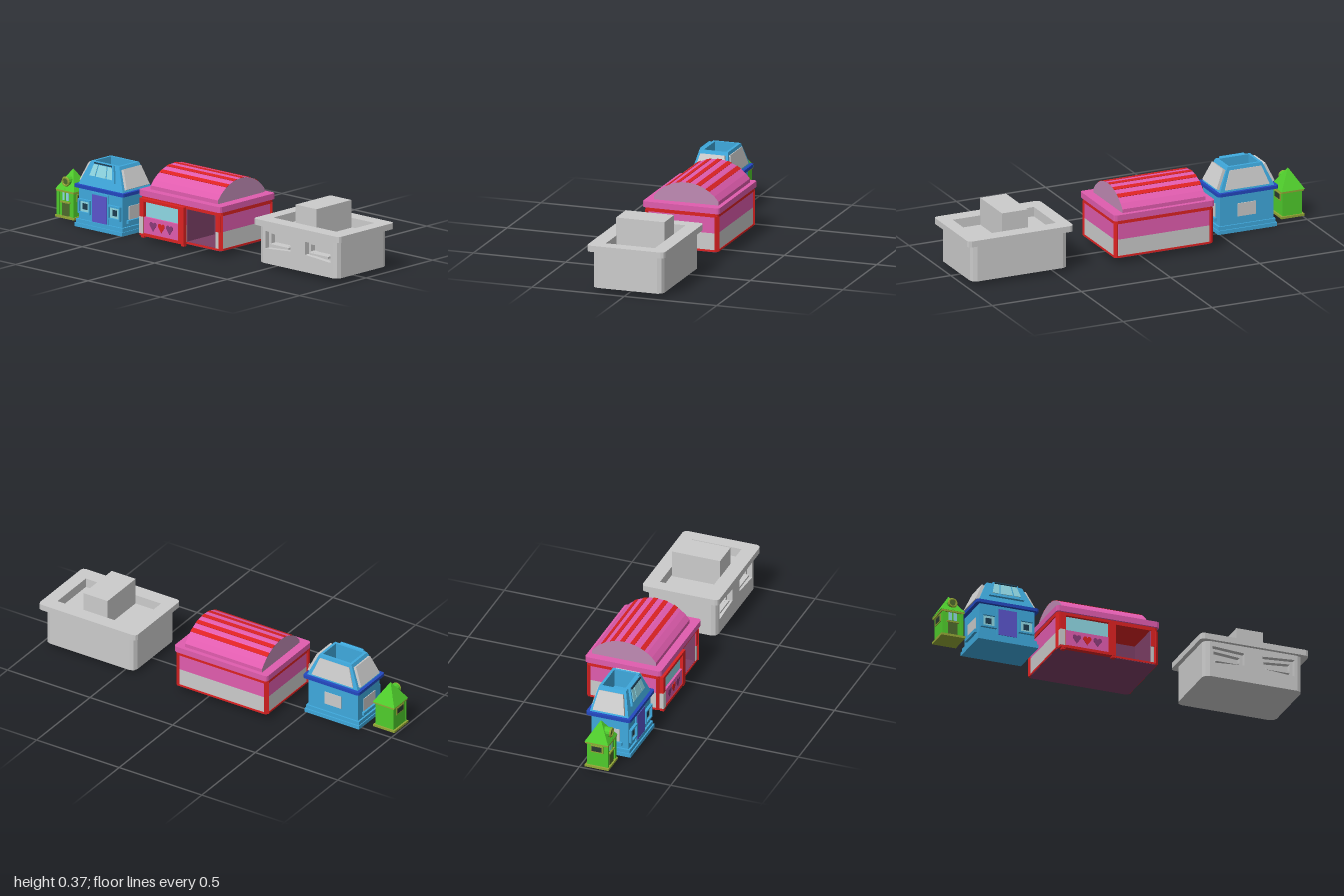
import * as THREE from 'three';

const mat = (color) => new THREE.MeshStandardMaterial({ color, flatShading: true, side: THREE.DoubleSide });
const M = {
  grey: mat(0xcccccc), green: mat(0x4fcc2c), olive: mat(0x94a836), dark: mat(0x2a3a30), brown: mat(0x4d6a2c),
  blue: mat(0x3fa9dd), navy: mat(0x2348c0), door: mat(0x5a55cc), glass: mat(0x8fd8e4), pane: mat(0x1c3c50),
  pink: mat(0xe05cae), red: mat(0xdd2222), mauve: mat(0xc08ab4), wine: mat(0x7d3f66), purple: mat(0x8a3a78),
};

function add(parent, name, geometry, material) {
  const mesh = new THREE.Mesh(geometry, material);
  mesh.name = name;
  parent.add(mesh);
  return mesh;
}

// Box from its limits
function box(parent, name, material, x0, x1, y0, y1, z0, z1) {
  const mesh = add(parent, name, new THREE.BoxGeometry(x1 - x0, y1 - y0, z1 - z0), material);
  mesh.position.set((x0 + x1) / 2, (y0 + y1) / 2, (z0 + z1) / 2);
  return mesh;
}

// Rectangle footprint with cut corners and an optional notch in the front edge
function footprint(x0, x1, z0, z1, c, notch) {
  const p = [[x0 + c, z1]];
  if (notch) p.push([notch[0], z1], [notch[0], notch[2]], [notch[1], notch[2]], [notch[1], z1]);
  p.push([x1 - c, z1], [x1 - c * 0.3, z1 - c * 0.3], [x1, z1 - c], [x1, z0 + c], [x1 - c * 0.3, z0 + c * 0.3], [x1 - c, z0],
    [x0 + c, z0], [x0 + c * 0.3, z0 + c * 0.3], [x0, z0 + c], [x0, z1 - c], [x0 + c * 0.3, z1 - c * 0.3]);
  return p.map(([x, z]) => new THREE.Vector2(x, -z));
}

// Footprint raised from y0 to y1
function slab(parent, name, material, points, y0, y1, hole) {
  const shape = new THREE.Shape(points);
  if (hole) shape.holes.push(new THREE.Path(hole));
  const g = new THREE.ExtrudeGeometry(shape, { depth: y1 - y0, bevelEnabled: false });
  return add(parent, name, g.rotateX(-Math.PI / 2).translate(0, y0, 0), material);
}

// Upright front panel with holes
const poly = (pts) => pts.map(([x, y]) => new THREE.Vector2(x, y));
const rect = (x0, x1, y0, y1) => [[x0, y0], [x1, y0], [x1, y1], [x0, y1]];
function panel(parent, name, material, pts, holes, z0, z1) {
  const shape = new THREE.Shape(poly(pts));
  holes.forEach((h) => shape.holes.push(new THREE.Path(poly(h))));
  const g = new THREE.ExtrudeGeometry(shape, { depth: z1 - z0, bevelEnabled: false });
  return add(parent, name, g.translate(0, 0, z0), material);
}

// Four corners, counter-clockwise from outside, thickened outwards by t
function plate(parent, name, material, corners, t = 0) {
  const a = corners.map((c) => new THREE.Vector3(...c));
  const n = a[1].clone().sub(a[0]).cross(a[3].clone().sub(a[0])).setLength(t || 1).multiplyScalar(t ? 1 : 0);
  const b = a.map((v) => v.clone().add(n));
  const pos = [];
  const quad = (p, q, r, s) => [p, q, r, p, r, s].forEach((v) => pos.push(v.x, v.y, v.z));
  quad(...b);
  if (t) for (let i = 0; i < 4; i++) quad(a[i], a[(i + 1) % 4], b[(i + 1) % 4], b[i]);
  const g = new THREE.BufferGeometry();
  g.setAttribute('position', new THREE.Float32BufferAttribute(pos, 3));
  g.computeVertexNormals();
  return add(parent, name, g, material);
}

// Part of a four-cornered face, u and v from 0 to 1
function within(f, u0, u1, v0, v1) {
  const v = f.map((c) => new THREE.Vector3(...c));
  const at = (s, t) => v[0].clone().lerp(v[1], s).lerp(v[3].clone().lerp(v[2], s), t).toArray();
  return [at(u0, v0), at(u1, v0), at(u1, v1), at(u0, v1)];
}

function greenHut() {
  const g = new THREE.Group();
  g.name = 'greenHut';
  const cx = -0.935, cz = 0.093;
  box(g, 'hutBase', M.olive, -1, -0.87, 0.01, 0.022, 0.03, 0.16);
  box(g, 'hutWalls', M.green, -0.99, -0.88, 0.022, 0.15, 0.038, 0.148);
  box(g, 'hutEave', M.olive, -0.997, -0.873, 0.146, 0.156, 0.031, 0.157);
  const roof = add(g, 'hutRoof', new THREE.CylinderGeometry(0, 0.065 * Math.SQRT2, 0.105, 4, 1, false, Math.PI / 4), M.green);
  roof.position.set(cx, 0.2085, cz);
  // Porthole dormer
  const dormer = add(g, 'hutDormer', new THREE.CylinderGeometry(0.025, 0.025, 0.055, 12).rotateX(Math.PI / 2), M.green);
  dormer.position.set(cx, 0.202, 0.122);
  add(g, 'dormerRing', new THREE.TorusGeometry(0.021, 0.006, 6, 12), M.olive).position.set(cx, 0.202, 0.15);
  add(g, 'dormerHole', new THREE.CircleGeometry(0.018, 12), M.brown).position.set(cx, 0.202, 0.151);
  // Door and arched window
  box(g, 'hutDoor', M.brown, cx - 0.025, cx + 0.025, 0.022, 0.09, 0.147, 0.152);
  box(g, 'hutDoorLintel', M.olive, cx - 0.032, cx + 0.032, 0.09, 0.098, 0.147, 0.157);
  const arch = new THREE.Shape().moveTo(-0.022, 0).lineTo(0.022, 0).lineTo(0.022, 0.04).absarc(0, 0.04, 0.022, 0, Math.PI);
  add(g, 'hutWindow', new THREE.ExtrudeGeometry(arch, { depth: 0.004, bevelEnabled: false }), M.glass).position.set(cx, 0.103, 0.147);
  box(g, 'hutWindowBar', M.green, cx - 0.003, cx + 0.003, 0.1, 0.165, 0.149, 0.155);
  for (const s of [-1, 1]) {
    box(g, 'hutSidePost', M.green, cx + s * 0.05 - 0.008, cx + s * 0.05 + 0.008, 0.022, 0.148, 0.146, 0.154);
    const x = cx + s * 0.056;
    box(g, 'hutSideFrame', M.olive, x - 0.003, x + 0.003, 0.1, 0.14, 0.058, 0.128);
    box(g, 'hutSideWindow', M.dark, x - 0.005, x + 0.005, 0.107, 0.134, 0.066, 0.12);
  }
  return g;
}

function blueHouse() {
  const g = new THREE.Group();
  g.name = 'blueHouse';
  const cx = -0.655;
  box(g, 'houseBase', M.blue, -0.82, -0.49, 0, 0.02, -0.025, 0.21);
  box(g, 'housePlinth', M.blue, -0.815, -0.495, 0.02, 0.04, -0.018, 0.203);
  box(g, 'houseWalls', M.blue, -0.805, -0.505, 0.04, 0.205, -0.01, 0.193);
  slab(g, 'houseEave', M.navy, footprint(-0.825, -0.485, -0.035, 0.21, 0.012), 0.205, 0.222);
  box(g, 'doorFrame', M.blue, cx - 0.06, cx + 0.06, 0.04, 0.195, 0.193, 0.2);
  box(g, 'houseDoor', M.door, cx - 0.05, cx + 0.05, 0.042, 0.185, 0.195, 0.203);
  for (const s of [-1, 1]) {
    const x = cx + s * 0.103;
    panel(g, 'windowFrame', M.blue, rect(x - 0.042, x + 0.042, 0.073, 0.148), [rect(x - 0.033, x + 0.033, 0.082, 0.139)], 0.19, 0.208);
    box(g, 'windowPane', M.glass, x - 0.034, x + 0.034, 0.081, 0.14, 0.19, 0.197);
    box(g, 'windowOpening', M.pane, x - 0.015, x + 0.015, 0.095, 0.126, 0.194, 0.2);
    // Side windows with ledges
    const w = cx + s * 0.15;
    box(g, 'sideWindow', M.grey, w - 0.004, w + 0.004, 0.075, 0.145, 0.04, 0.145);
    box(g, 'sideLedge', M.blue, w - 0.014, w + 0.014, 0.056, 0.074, 0.025, 0.16);
  }
  box(g, 'backWindow', M.grey, cx - 0.05, cx + 0.05, 0.08, 0.15, -0.014, -0.008);
  // Open-topped mansard roof
  const ring = (x0, x1, z0, z1, y) => [[x0, y, z1], [x1, y, z1], [x1, y, z0], [x0, y, z0]];
  const low = ring(-0.808, -0.502, -0.018, 0.193, 0.222);
  const high = ring(-0.752, -0.558, 0.01, 0.158, 0.345);
  const inTop = ring(-0.738, -0.572, 0.024, 0.144, 0.345);
  const inLow = ring(-0.738, -0.572, 0.024, 0.144, 0.25);
  ['front', 'left', 'back', 'right'].forEach((side, i) => {
    const j = (i + 1) % 4;
    const face = [low[i], low[j], high[j], high[i]];
    plate(g, side + 'RoofSlope', M.blue, face);
    plate(g, side + 'RoofRim', M.blue, [high[i], high[j], inTop[j], inTop[i]]);
    plate(g, side + 'RoofInside', M.blue, [inTop[i], inTop[j], inLow[j], inLow[i]]);
    if (i) plate(g, side + 'RoofPanel', M.grey, within(face, 0.08, 0.92, 0.08, 0.86), i === 2 ? 0.006 : 0.016);
    else {
      plate(g, 'bayWindowFrame', M.blue, within(face, 0.15, 0.85, 0.3, 1), 0.012);
      for (const [u0, u1] of [[0.2, 0.34], [0.37, 0.63], [0.66, 0.8]])
        plate(g, 'bayWindowPane', M.glass, within(face, u0, u1, 0.42, 0.9), 0.015);
      plate(g, 'bayWindowHood', M.pane, within(face, 0.2, 0.8, 0.92, 0.98), 0.018);
    }
  });
  plate(g, 'roofFloor', M.blue, inLow);
  return g;
}

function pinkShop() {
  const g = new THREE.Group();
  g.name = 'pinkShop';
  const door = [-0.065, 0.135, -0.02];
  const outline = (n) => footprint(-0.375, 0.17, -0.2, 0.188, 0.018, n);
  slab(g, 'shopFloor', M.wine, outline(), 0.03, 0.035);
  slab(g, 'shopBaseTrim', M.red, footprint(-0.378, 0.173, -0.203, 0.19, 0.018), 0.032, 0.042);
  slab(g, 'lowerWall', M.grey, outline(door), 0.042, 0.13);
  slab(g, 'upperWall', M.pink, outline(door), 0.13, 0.215);
  slab(g, 'wallTopTrim', M.red, footprint(-0.38, 0.175, -0.205, 0.193, 0.018), 0.215, 0.235);
  for (const x of [-0.367, 0.162]) for (const z of [-0.192, 0.18])
    box(g, 'cornerPost', M.red, x - 0.011, x + 0.011, 0.035, 0.22, z - 0.011, z + 0.011).rotation.y = Math.PI / 4;
  box(g, 'frontWallTop', M.red, 0.137, 0.168, 0.13, 0.216, 0.18, 0.193);
  // Doorway lining
  box(g, 'doorwayBack', M.wine, -0.065, 0.135, 0.042, 0.215, -0.02, -0.016);
  for (const x of [-0.065, 0.131]) box(g, 'doorwaySide', M.wine, x, x + 0.004, 0.042, 0.215, -0.016, 0.186);
  box(g, 'doorwayFloor', M.wine, -0.063, 0.133, 0.04, 0.044, -0.016, 0.186);
  // Shop window bay
  panel(g, 'bayFrame', M.red, rect(-0.37, -0.065, 0.03, 0.225), [rect(-0.34, -0.103, 0.045, 0.21)], 0.185, 0.212);
  box(g, 'bayLowerCorner', M.grey, -0.372, -0.342, 0.042, 0.13, 0.185, 0.214);
  box(g, 'shopWindow', M.glass, -0.34, -0.103, 0.13, 0.21, 0.186, 0.196);
  box(g, 'heartPanel', M.pink, -0.34, -0.103, 0.045, 0.13, 0.186, 0.208);
  for (const x of [-0.36, -0.085]) box(g, 'bayFoot', M.red, x, x + 0.02, 0.02, 0.035, 0.188, 0.21);
  const heart = new THREE.Shape().moveTo(0, -0.026).lineTo(-0.022, 0.004).bezierCurveTo(-0.026, 0.026, -0.004, 0.026, 0, 0.012)
    .bezierCurveTo(0.004, 0.026, 0.026, 0.026, 0.022, 0.004).lineTo(0, -0.026);
  [-0.278, -0.221, -0.164].forEach((x, i) => add(g, 'heart',
    new THREE.ExtrudeGeometry(heart, { depth: 0.004, bevelEnabled: false, curveSegments: 5 }), i === 1 ? M.red : M.purple).position.set(x, 0.09, 0.207));
  slab(g, 'shopEave', M.pink, footprint(-0.385, 0.18, -0.213, 0.203, 0.015), 0.235, 0.266);
  // Striped barrel roof
  const R = 0.2195, cy = 0.1525, cz = -0.015, end = 0.92, N = 12;
  const arc = (a) => [cz + R * Math.sin(a), cy + R * Math.cos(a)];
  const pts = [[0.16, 0.26], [-0.19, 0.26]];
  for (let i = 0; i <= N; i++) pts.push(arc(-end + (2 * end * i) / N));
  const vault = new THREE.ExtrudeGeometry(new THREE.Shape(poly(pts)), { depth: 0.465, bevelEnabled: false });
  add(g, 'barrelRoof', vault.rotateY(-Math.PI / 2).translate(0.125, 0, 0), [M.mauve, M.pink]);
  for (const z of [-0.13, -0.08, -0.025, 0.03, 0.085]) {
    const a = Math.asin((z - cz) / R), [z0, y0] = arc(a - 0.055), [z1, y1] = arc(a + 0.055);
    plate(g, 'roofStripe', M.red, [[-0.34, y1, z1], [0.125, y1, z1], [0.125, y0, z0], [-0.34, y0, z0]], 0.002);
  }
  return g;
}

function greyHouse() {
  const g = new THREE.Group();
  g.name = 'greyHouse';
  const cx = 0.7;
  slab(g, 'walls', M.grey, footprint(0.43, 0.97, -0.195, 0.186, 0.03, [0.46, 0.94, 0.13]), 0.022, 0.2);
  const win = (s, i) => [[0.225 - i, 0.1 + i], [0.05 + i, 0.113 + i], [0.05 + i, 0.18 - i], [0.225 - i, 0.192 - i]].map(([x, y]) => [cx + s * x, y]);
  panel(g, 'frontWall', M.grey, rect(0.46, 0.94, 0.022, 0.2), [win(-1, 0), win(1, 0)], 0.158, 0.186);
  panel(g, 'windowSurround', M.grey, rect(0.46, 0.94, 0.022, 0.2), [win(-1, 0.016), win(1, 0.016)], 0.13, 0.158);
  for (const s of [-1, 1]) box(g, 'windowSill', M.grey, cx + s * 0.137 - 0.065, cx + s * 0.137 + 0.065, 0.116, 0.126, 0.13, 0.178);
  // Roof rim around a sunken deck
  const outer = footprint(0.43, 0.97, -0.195, 0.186, 0.03);
  const well = poly([[0.475, -0.125], [0.93, -0.125], [0.93, 0.14], [0.475, 0.14]]);
  slab(g, 'wallTop', M.grey, outer, 0.2, 0.22, well);
  const rim = footprint(0.407, 1, -0.215, 0.205, 0.02);
  slab(g, 'roofRim', M.grey, rim, 0.218, 0.25, well);
  box(g, 'roofBlock', M.grey, 0.63, 0.775, 0.2, 0.345, -0.135, 0.127);
  return g;
}

export function createModel() {
  const model = new THREE.Group();
  model.name = 'houseRow';
  model.add(greenHut(), blueHouse(), pinkShop(), greyHouse());
  return model;
}
